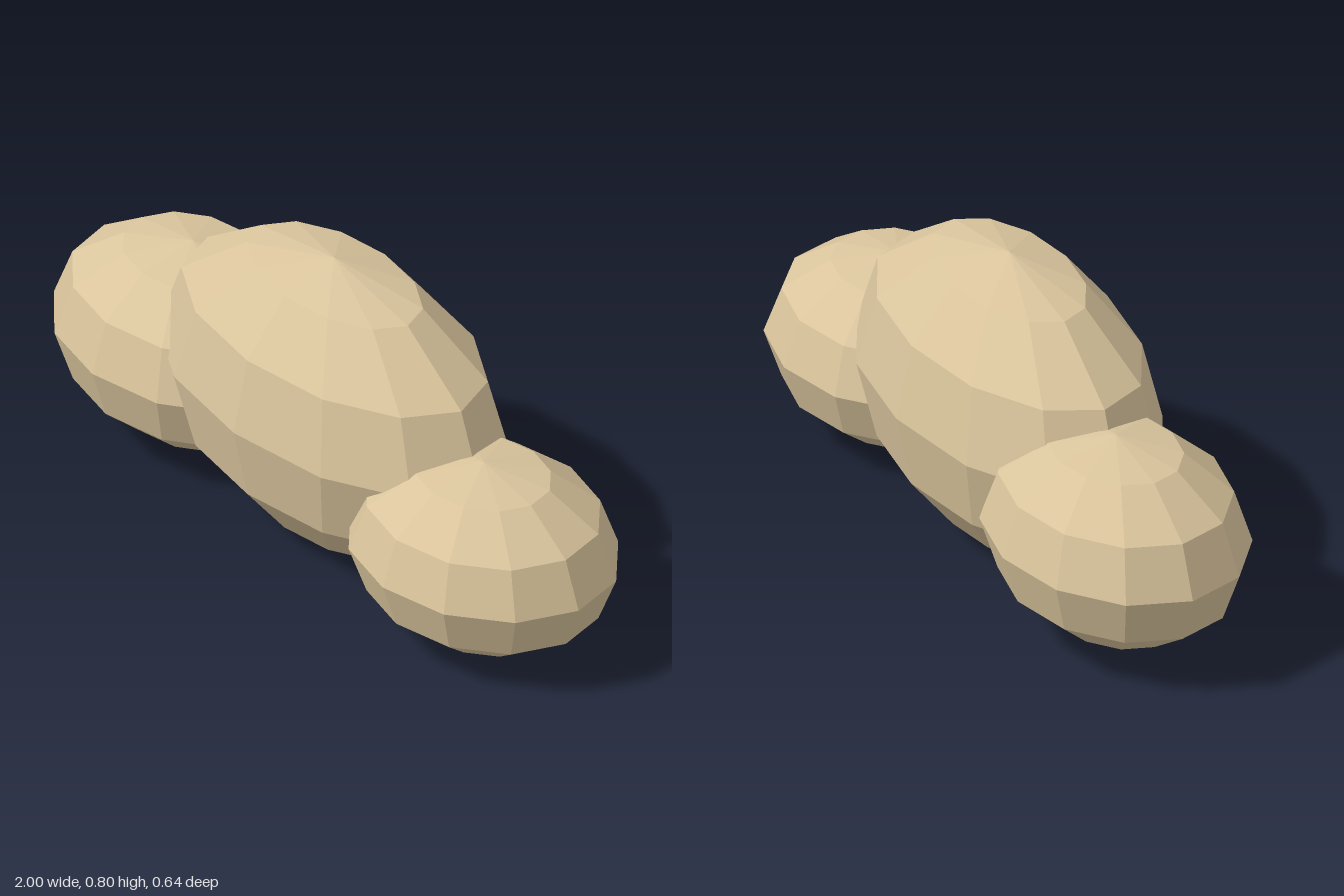
import * as THREE from 'three';

export function createModel() {
  const model = new THREE.Group();
  model.name = 'lobedMound';
  const material = new THREE.MeshStandardMaterial({ color: 0xd9c49c, flatShading: true });

  // One faceted ellipsoid lobe
  const addLobe = (name, center, radii) => {
    const geometry = new THREE.SphereGeometry(1, 12, 6);
    geometry.scale(...radii);
    const lobe = new THREE.Mesh(geometry, material);
    lobe.name = name;
    lobe.position.set(...center);
    model.add(lobe);
  };

  // Large middle lobe with a smaller one overlapping each end
  addLobe('middleLobe', [0, 0.405, 0], [0.6, 0.398, 0.322]);
  addLobe('rightLobe', [-0.58, 0.29, 0], [0.42, 0.273, 0.322]);
  addLobe('leftLobe', [0.61, 0.25, 0], [0.39, 0.25, 0.322]);

  return model;
}
